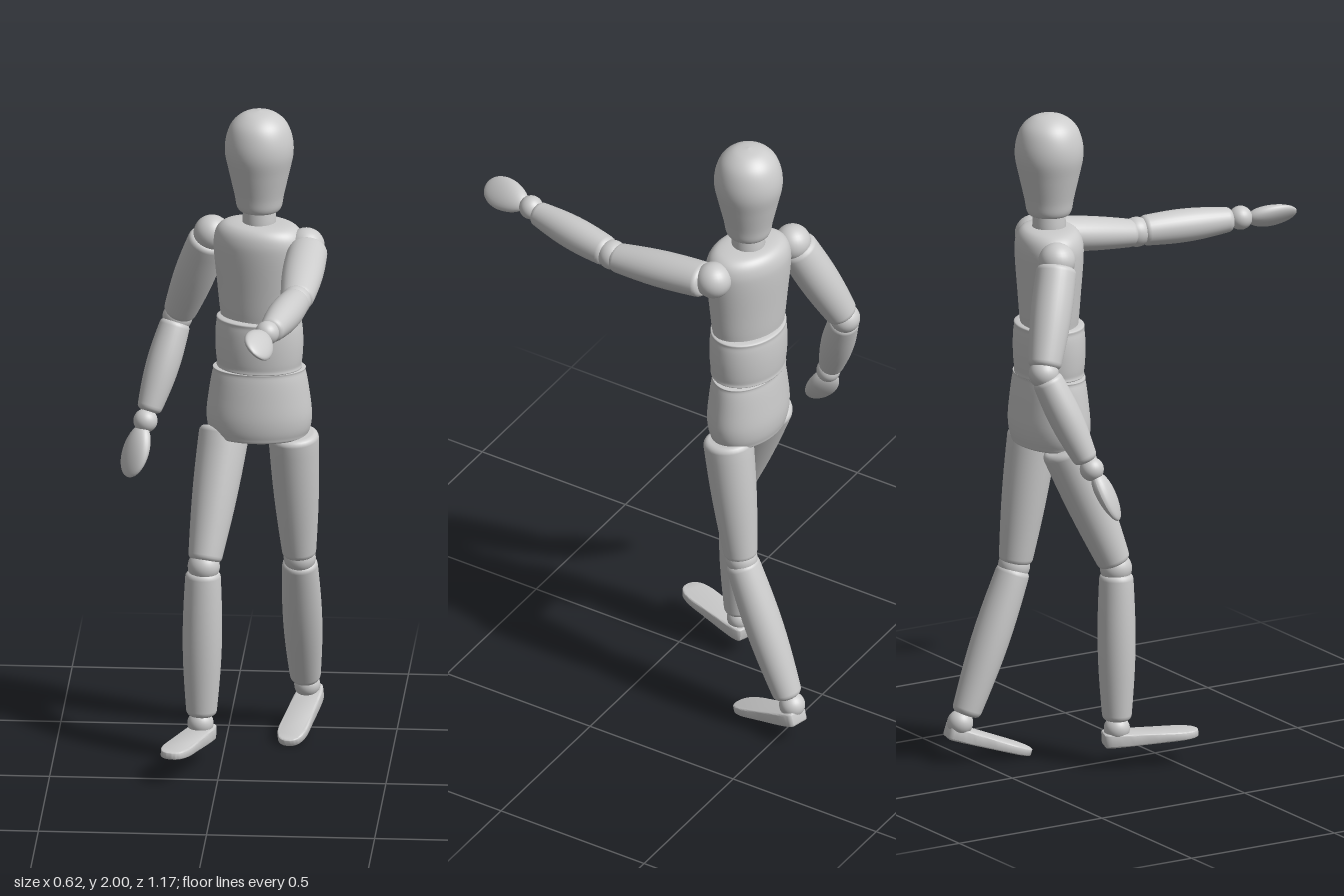
import * as THREE from 'three';
import { toCreasedNormals } from 'three/addons/utils/BufferGeometryUtils.js';

const material = new THREE.MeshStandardMaterial({ color: 0xcccccc, side: THREE.DoubleSide });
const V = (p) => new THREE.Vector3(...p);

export function createModel() {
  const model = new THREE.Group();
  const add = (name, geometry, pos = [0, 0, 0]) => {
    const mesh = new THREE.Mesh(geometry, material);
    mesh.name = name;
    mesh.position.set(...pos);
    model.add(mesh);
    return mesh;
  };

  // Turned body on the spine; profile is [radius, height], flattened by scale and turned about y
  const turned = (name, profile, sx = 1, sz = 1, turn = 0) => {
    const pts = profile.map(([r, y]) => new THREE.Vector2(r, y));
    const curve = new THREE.SplineCurve(pts).getPoints(48);
    curve.forEach((p) => { p.x = Math.max(0, p.x); });
    const mesh = add(name, new THREE.LatheGeometry(curve, 48), [0.103, 0, -0.306]);
    mesh.scale.set(sx, 1, sz);
    mesh.rotation.y = turn;
  };

  // Aim local y from a to b, with local x as near as possible to the side direction
  const aim = (mesh, a, b, side) => {
    const y = V(b).sub(V(a)).normalize();
    const z = V(side).cross(y).normalize();
    const x = y.clone().cross(z);
    mesh.quaternion.setFromRotationMatrix(new THREE.Matrix4().makeBasis(x, y, z));
  };

  // Tapered, slightly bulging limb with rounded rims, r0 at a and r1 at b
  const limb = (name, a, b, r0, r1, depth = 1, bulge = 0.004) => {
    const L = V(a).distanceTo(V(b));
    const pts = [new THREE.Vector2(0, 0)];
    const c = 0.018;
    for (let i = 0; i <= 4; i++) {
      const t = (i / 4) * Math.PI / 2;
      pts.push(new THREE.Vector2(r0 - c + c * Math.sin(t), c - c * Math.cos(t)));
    }
    for (let i = 1; i < 10; i++) {
      const t = i / 10;
      pts.push(new THREE.Vector2(r0 + (r1 - r0) * t + bulge * Math.sin(Math.PI * t), c + (L - 2 * c) * t));
    }
    for (let i = 0; i <= 4; i++) {
      const t = (i / 4) * Math.PI / 2;
      pts.push(new THREE.Vector2(r1 - c + c * Math.cos(t), L - c + c * Math.sin(t)));
    }
    pts.push(new THREE.Vector2(0, L));
    const mesh = add(name, new THREE.LatheGeometry(pts, 32), a);
    aim(mesh, a, b, [1, 0, 0]);
    mesh.scale.z = depth;
  };

  const ball = (name, pos, r) => add(name, new THREE.SphereGeometry(r, 28, 18), pos);

  // Flat paddle hand, egg shaped towards the fingertips
  const hand = (name, a, b, width, thick, side) => {
    const g = new THREE.SphereGeometry(1, 28, 20);
    const p = g.attributes.position;
    for (let i = 0; i < p.count; i++) {
      const k = 1 + 0.12 * p.getY(i);
      p.setX(i, p.getX(i) * k);
      p.setZ(i, p.getZ(i) * (1.05 - 0.3 * p.getY(i)));
    }
    g.computeVertexNormals();
    const mid = V(a).add(V(b)).multiplyScalar(0.5);
    const mesh = add(name, g, mid.toArray());
    aim(mesh, a, b, side);
    mesh.scale.set(width, V(a).distanceTo(V(b)) / 2, thick);
  };

  // Wedge foot: rounded footprint, thick at the heel and thin at the toe
  const foot = (name, heel, toe) => {
    const L = V(heel).distanceTo(V(toe));
    const s = new THREE.Shape();
    s.moveTo(-0.024, 0.006);
    s.lineTo(0.024, 0.006);
    s.bezierCurveTo(0.038, 0.01, 0.034, L * 0.4, 0.038, L * 0.68);
    s.bezierCurveTo(0.04, L * 0.9, 0.025, L - 0.006, 0, L - 0.006);
    s.bezierCurveTo(-0.025, L - 0.006, -0.04, L * 0.9, -0.038, L * 0.68);
    s.bezierCurveTo(-0.034, L * 0.4, -0.038, 0.01, -0.024, 0.006);
    let g = new THREE.ExtrudeGeometry(s, {
      depth: 0.032, bevelThickness: 0.006, bevelSize: 0.006, bevelSegments: 3, curveSegments: 14,
    });
    g.translate(0, 0, 0.006);
    const p = g.attributes.position;
    for (let i = 0; i < p.count; i++) {
      const t = p.getY(i) / L;
      p.setZ(i, p.getZ(i) * (1 - 0.5 * t));
    }
    // Shape's y runs to the toe, its depth runs upwards
    g = toCreasedNormals(g, 0.7);
    const mesh = add(name, g, heel);
    const y = V(toe).sub(V(heel)).normalize();
    const x = y.clone().cross(new THREE.Vector3(0, 1, 0)).normalize();
    mesh.quaternion.setFromRotationMatrix(new THREE.Matrix4().makeBasis(x, y, x.clone().cross(y)));
  };

  // Head, neck and trunk
  turned('head', [[0, 1.687], [0.05, 1.688], [0.066, 1.7], [0.074, 1.74], [0.09, 1.81], [0.102, 1.87],
    [0.098, 1.92], [0.08, 1.963], [0.045, 1.991], [0, 2]]);
  turned('neck', [[0.05, 1.62], [0.05, 1.66], [0.047, 1.7]]);
  turned('chest', [[0, 1.35], [0.11, 1.351], [0.12, 1.362], [0.13, 1.45], [0.141, 1.56], [0.138, 1.61],
    [0.118, 1.64], [0.08, 1.652], [0, 1.655]], 1, 0.71, -0.34);
  turned('abdomen', [[0, 1.195], [0.115, 1.198], [0.127, 1.215], [0.132, 1.28], [0.128, 1.34], [0.115, 1.358],
    [0, 1.362]], 1, 0.78, -0.15);
  turned('pelvis', [[0, 0.98], [0.125, 0.982], [0.148, 1.0], [0.157, 1.05], [0.15, 1.12], [0.138, 1.187],
    [0.125, 1.2], [0, 1.203]], 1, 0.68);

  // Legs: hip, knee, ankle and foot ends
  const legs = [
    { side: 'left', hip: [0.205, 0.995, -0.298], thighEnd: [0.219, 0.59, -0.352], knee: [0.22, 0.583, -0.355],
      shinTop: [0.22, 0.575, -0.355], shinEnd: [0.226, 0.145, -0.522], ankle: [0.23, 0.122, -0.538],
      heel: [0.248, 0.078, -0.578], toe: [0.185, 0.0, -0.322] },
    { side: 'right', hip: [0.0, 1.0, -0.315], thighEnd: [-0.051, 0.627, -0.172], knee: [-0.053, 0.613, -0.17],
      shinTop: [-0.055, 0.598, -0.17], shinEnd: [-0.06, 0.145, -0.171], ankle: [-0.063, 0.12, -0.173],
      heel: [-0.046, 0.065, -0.208], toe: [-0.143, 0.083, 0.062] },
  ];
  for (const l of legs) {
    limb(l.side + 'Thigh', l.hip, l.thighEnd, 0.075, 0.051);
    ball(l.side + 'Knee', l.knee, 0.048);
    limb(l.side + 'Shin', l.shinTop, l.shinEnd, 0.053, 0.046, 0.95, 0.009);
    ball(l.side + 'Ankle', l.ankle, 0.039);
    foot(l.side + 'Foot', l.heel, l.toe);
  }

  // Arms: the left reaches forward, the right hangs behind
  const arms = [
    { side: 'left', shoulder: [0.245, 1.59, -0.272], top: [0.251, 1.583, -0.25], elbowEnd: [0.24, 1.538, 0.072],
      elbow: [0.238, 1.54, 0.085], foreTop: [0.236, 1.541, 0.1], foreEnd: [0.184, 1.546, 0.385],
      wrist: [0.174, 1.549, 0.409], palm: [0.168, 1.546, 0.428], tip: [0.145, 1.545, 0.586],
      across: [-0.7, 0.65, 0], depth: 0.85 },
    { side: 'right', shoulder: [-0.042, 1.59, -0.37], top: [-0.05, 1.575, -0.375], elbowEnd: [-0.147, 1.3, -0.48],
      elbow: [-0.152, 1.286, -0.485], foreTop: [-0.156, 1.275, -0.48], foreEnd: [-0.232, 1.02, -0.385],
      wrist: [-0.24, 0.996, -0.372], palm: [-0.245, 0.985, -0.366], tip: [-0.287, 0.84, -0.305],
      across: [0.7, 0, 0.7], depth: 1 },
  ];
  for (const a of arms) {
    ball(a.side + 'Shoulder', a.shoulder, 0.055);
    limb(a.side + 'UpperArm', a.top, a.elbowEnd, 0.06, 0.05, a.depth, 0.006);
    ball(a.side + 'Elbow', a.elbow, 0.045);
    limb(a.side + 'Forearm', a.foreTop, a.foreEnd, 0.046, 0.038, 1, 0.008);
    ball(a.side + 'Wrist', a.wrist, 0.036);
    hand(a.side + 'Hand', a.palm, a.tip, 0.05, 0.024, a.across);
  }
  return model;
}
